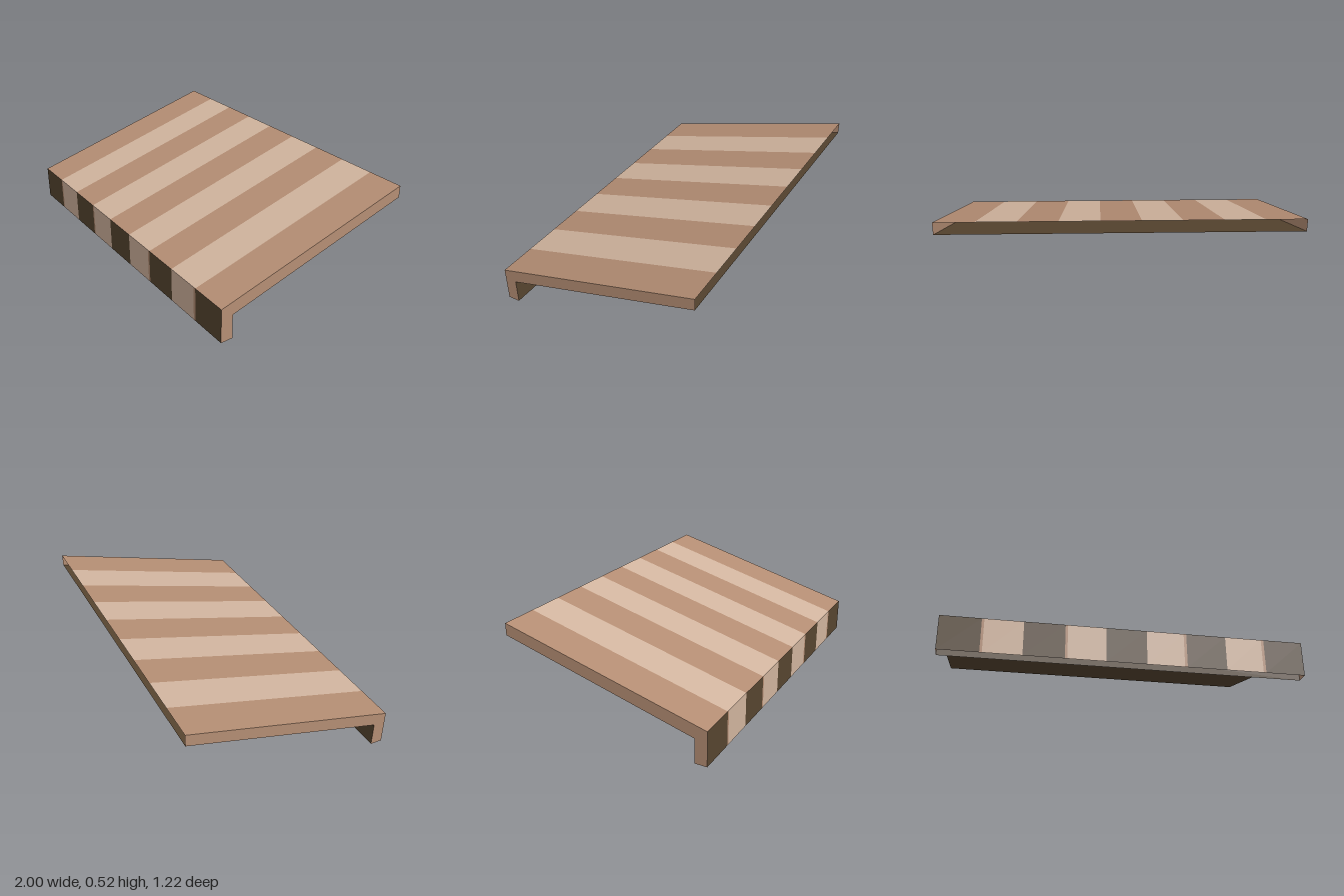
import * as THREE from 'three';

const paint = (name, color) => {
  const m = new THREE.MeshStandardMaterial({ color, side: THREE.DoubleSide });
  m.name = name;
  return m;
};

// Flat sheet spanning x0..x1 between two [z, y] profile points
function sheet(name, x0, x1, a, b, material) {
  const g = new THREE.BufferGeometry();
  g.setAttribute('position', new THREE.Float32BufferAttribute([
    x0, a[1], a[0], x1, a[1], a[0], x1, b[1], b[0], x0, b[1], b[0]], 3));
  g.setIndex([0, 1, 2, 0, 2, 3]);
  g.computeVertexNormals();
  const mesh = new THREE.Mesh(g, material);
  mesh.name = name;
  return mesh;
}

export function createModel() {
  const tan = paint('tan', 0xb58e74);
  const cream = paint('cream', 0xd2b59f);
  const dark = paint('dark brown', 0x574530);
  const group = new THREE.Group();
  group.name = 'awning';

  // Side profile as [z, y]: outer skin, then inner skin
  const hem = [0.61, 0], brow = [0.61, 0.2], back = [-0.61, 0.52];
  const backLow = [-0.61, 0.45], bend = [0.54, 0.142], hemIn = [0.54, 0];

  // Striped roof and valance; some cream valance strips have a thin tan margin
  const stripes = 9, w = 2 / stripes;
  const margins = { 1: [0.013, 0], 3: [0.013, 0], 5: [0, 0.015], 7: [0, 0.015] };
  for (let i = 0; i < stripes; i++) {
    const x0 = -1 + i * w, x1 = x0 + w, light = i % 2 === 1;
    group.add(sheet('roofStripe', x0, x1, brow, back, light ? cream : tan));
    const [l, r] = margins[i] || [0, 0];
    group.add(sheet('valanceStripe', x0 + l, x1 - r, hem, brow, light ? cream : dark));
    if (l) group.add(sheet('valanceMargin', x0, x0 + l, hem, brow, tan));
    if (r) group.add(sheet('valanceMargin', x1 - r, x1, hem, brow, tan));
  }

  // Dark lining; the shell stays open at the rear edge and the hem
  group.add(sheet('roofLining', -1, 1, backLow, bend, dark));
  group.add(sheet('valanceLining', -1, 1, bend, hemIn, dark));

  // End walls
  const outline = new THREE.Shape(
    [hem, brow, back, backLow, bend, hemIn].map(([z, y]) => new THREE.Vector2(-z, y)));
  for (const s of [-1, 1]) {
    const g = new THREE.ShapeGeometry(outline);
    if (s < 0) g.scale(-1, 1, 1).index.array.reverse();
    g.computeVertexNormals();
    g.rotateY(s * Math.PI / 2).translate(s, 0, 0);
    const wall = new THREE.Mesh(g, tan);
    wall.name = s > 0 ? 'leftEndWall' : 'rightEndWall';
    group.add(wall);
  }
  return group;
}
